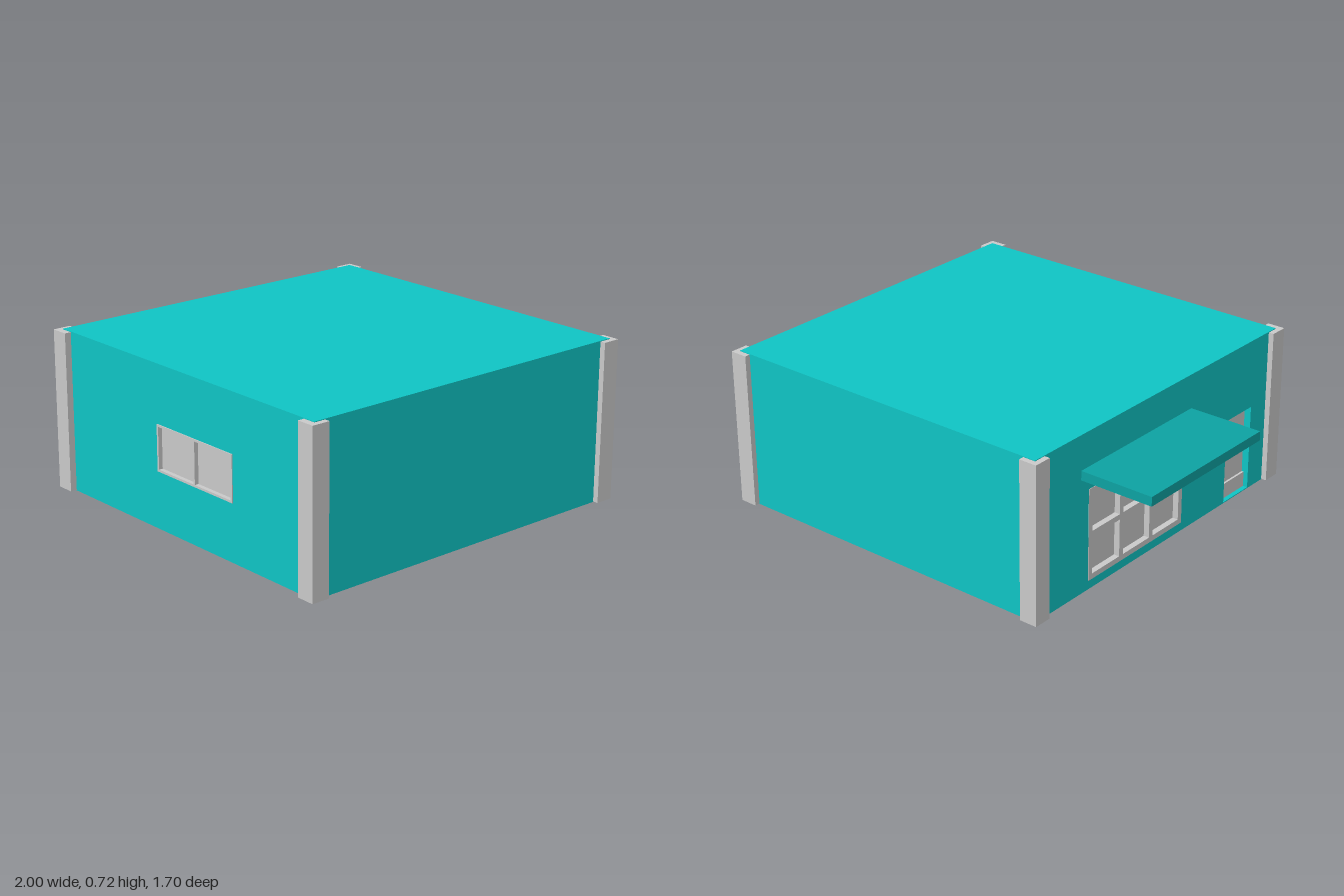
import * as THREE from 'three';

const X0 = -0.655, X1 = 0.97, Z0 = -0.825, Z1 = 0.82, H = 0.718, T = 0.035;

export function createModel() {
  const model = new THREE.Group();
  model.name = 'house';
  const mat = (name, color) => {
    const m = new THREE.MeshStandardMaterial({ color });
    m.name = name;
    return m;
  };
  const teal = mat('teal wall', 0x0fc4c4);
  const darkTeal = mat('dark teal canopy', 0x0da2a2);
  const grey = mat('light grey', 0xc9c9c9);

  // box from its two opposite corners
  const box = (parent, name, m, x0, x1, y0, y1, z0, z1) => {
    const mesh = new THREE.Mesh(new THREE.BoxGeometry(x1 - x0, y1 - y0, z1 - z0), m);
    mesh.position.set((x0 + x1) / 2, (y0 + y1) / 2, (z0 + z1) / 2);
    mesh.name = name;
    parent.add(mesh);
  };

  // wall in its own plane: outer face at z = 0, openings as [x0, x1, y0, y1]
  const wall = (name, x0, x1, openings) => {
    const group = new THREE.Group();
    group.name = name;
    const rect = (path, a, b, c, d) =>
      path.moveTo(a, c).lineTo(b, c).lineTo(b, d).lineTo(a, d).lineTo(a, c);
    const shape = new THREE.Shape();
    rect(shape, x0, x1, 0, H);
    for (const o of openings) {
      const hole = new THREE.Path();
      rect(hole, ...o);
      shape.holes.push(hole);
    }
    const geo = new THREE.ExtrudeGeometry(shape, { depth: T, bevelEnabled: false });
    geo.translate(0, 0, -T);
    const mesh = new THREE.Mesh(geo, teal);
    mesh.name = name + 'Panel';
    group.add(mesh);
    model.add(group);
    return group;
  };

  // glazing set back in an opening, divided by a grid of bars
  const glazing = (parent, name, [x0, x1, y0, y1], cols, rows, bar, back, front) => {
    box(parent, name + 'Pane', grey, x0, x1, y0, y1, back - 0.008, back);
    for (let i = 0; i <= cols; i++) {
      const x = x0 + bar / 2 + (x1 - x0 - bar) * i / cols;
      box(parent, name + 'Upright', grey, x - bar / 2, x + bar / 2, y0, y1, back, front);
    }
    for (let j = 0; j <= rows; j++) {
      const y = y0 + bar / 2 + (y1 - y0 - bar) * j / rows;
      box(parent, name + 'Rail', grey, x0, x1, y - bar / 2, y + bar / 2, back, front);
    }
  };

  // front wall with a two-pane window
  const frontWindow = [0, 0.485, 0.255, 0.46];
  const front = wall('frontWall', X0, X1, [frontWindow]);
  front.position.z = Z1;
  glazing(front, 'frontWindow', frontWindow, 2, 1, 0.01, -0.015, 0.004);

  // entrance wall facing -x, with the large window and the door
  const sideWindow = [-0.49, 0.15, 0.04, 0.46];
  const door = [0.47, 0.655, 0.004, 0.4];
  const side = wall('entranceWall', Z0 + 0.001, Z1 - 0.001, [sideWindow, door]);
  side.rotation.y = -Math.PI / 2;
  side.position.x = X0;
  glazing(side, 'sideWindow', sideWindow, 3, 2, 0.025, -0.025, 0.002);
  box(side, 'door', grey, door[0], door[1], door[2], door[3], -0.04, -0.032);
  box(side, 'doorBottomRail', grey, door[0], door[1], door[2], 0.075, -0.032, -0.022);

  // plain walls, roof and floor
  box(model, 'backWall', teal, X0, X1, 0, H, Z0, Z0 + T);
  box(model, 'leftWall', teal, X1 - T, X1, 0, H, Z0, Z1);
  box(model, 'roof', teal, X0, X1, H - 0.02, H + 0.001, Z0, Z1);
  box(model, 'floor', teal, X0, X1, 0, 0.003, Z0, Z1);

  // corner pillars
  for (const x of [-0.68, 0.912])
    for (const z of [-0.85, 0.767])
      box(model, 'cornerPillar', grey, x, x + 0.083, 0.002, H - 0.002, z, z + 0.083);

  // canopy over the entrance window
  box(model, 'canopy', darkTeal, -1, X0 + 0.01, 0.52, 0.562, -0.54, 0.2);
  return model;
}
